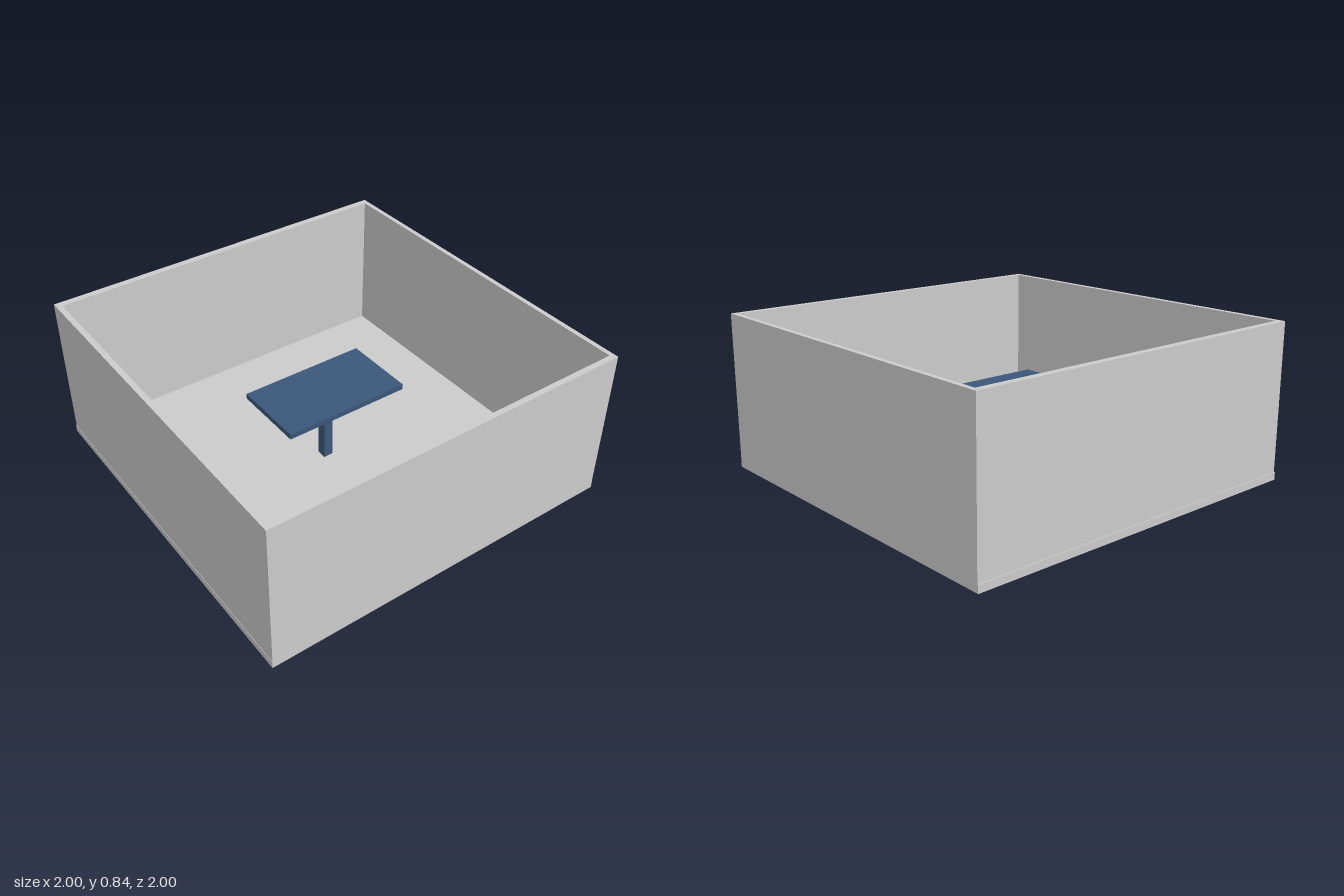
import * as THREE from 'three';

const grey = new THREE.MeshStandardMaterial({ color: 0xcccccc, flatShading: true });
const blue = new THREE.MeshStandardMaterial({ color: 0x3a577a, flatShading: true });

// Box given by its lower and upper corners
function box(name, material, [x0, y0, z0], [x1, y1, z1]) {
  const mesh = new THREE.Mesh(new THREE.BoxGeometry(x1 - x0, y1 - y0, z1 - z0), material);
  mesh.position.set((x0 + x1) / 2, (y0 + y1) / 2, (z0 + z1) / 2);
  mesh.name = name;
  return mesh;
}

// Counter-clockwise rectangle in plan, drawn with y = -z
function rectangle(PathType, x0, z0, x1, z1) {
  return new PathType([[x0, z1], [x1, z1], [x1, z0], [x0, z0]].map(([x, z]) => new THREE.Vector2(x, -z)));
}

export function createModel() {
  const model = new THREE.Group();
  model.name = 'roomWithTable';
  const floorTop = 0.04, wallTop = 0.84;

  // Floor slab
  model.add(box('floor', grey, [-1, 0, -1], [1, floorTop, 1]));

  // Four joined walls, set in slightly from the edges of the slab
  const plan = rectangle(THREE.Shape, -0.998, -0.995, 1, 0.999);
  plan.holes.push(rectangle(THREE.Path, -0.967, -0.958, 0.974, 0.968));
  const walls = new THREE.Mesh(
    new THREE.ExtrudeGeometry(plan, { depth: wallTop - floorTop, bevelEnabled: false }), grey);
  walls.rotation.x = -Math.PI / 2;
  walls.position.y = floorTop;
  walls.name = 'walls';
  model.add(walls);

  // Table: thin top on a central post
  const table = new THREE.Group();
  table.name = 'table';
  table.add(
    box('tableTop', blue, [-0.353, 0.44, -0.203], [0.35, 0.47, 0.2]),
    box('tablePost', blue, [-0.027, floorTop, -0.027], [0.027, 0.44, 0.027]));
  model.add(table);

  return model;
}
